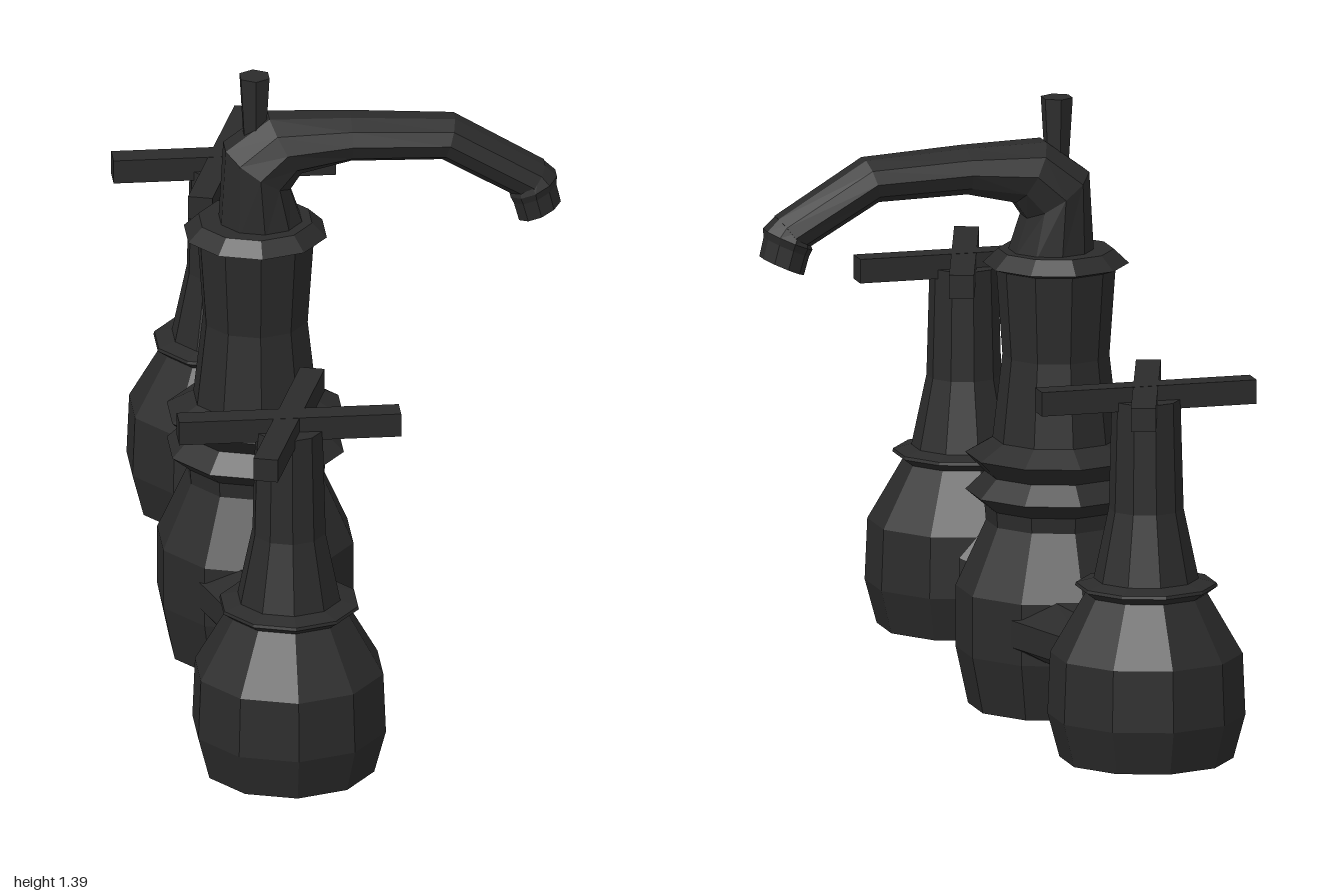
import * as THREE from 'three';

const metal = new THREE.MeshStandardMaterial({ color: 0x2b2b2b, flatShading: true });

function add(parent, name, geometry, x = 0, y = 0, z = 0) {
  const mesh = new THREE.Mesh(geometry, metal);
  mesh.name = name;
  mesh.position.set(x, y, z);
  parent.add(mesh);
  return mesh;
}

// Turned part from [radius, height] pairs
function turned(profile, sides = 10) {
  return new THREE.LatheGeometry(profile.map(([r, y]) => new THREE.Vector2(r, y)), sides);
}

// Skin over rings { c, u, v } with capped ends; u x v points along the travel
function loft(rings, sides) {
  const pos = [], index = [];
  const put = p => pos.push(p.x, p.y, p.z);
  rings.forEach(({ c, u, v }) => {
    for (let i = 0; i < sides; i++) {
      const a = (i + 0.5) / sides * Math.PI * 2;
      put(c.clone().addScaledVector(u, Math.cos(a)).addScaledVector(v, Math.sin(a)));
    }
  });
  const first = rings.length * sides, last = first + 1, top = (rings.length - 1) * sides;
  put(rings[0].c);
  put(rings[rings.length - 1].c);
  for (let i = 0; i < sides; i++) {
    const j = (i + 1) % sides;
    for (let k = 0; k < top; k += sides) {
      index.push(k + i, k + j, k + sides + j, k + i, k + sides + j, k + sides + i);
    }
    index.push(first, j, i, last, top + i, top + j);
  }
  const g = new THREE.BufferGeometry();
  g.setAttribute('position', new THREE.Float32BufferAttribute(pos, 3));
  g.setIndex(index);
  g.computeVertexNormals();
  return g;
}

const V = (x, y, z) => new THREE.Vector3(x, y, z);

// Rings along a path in the xy plane: [x, y, angle in degrees, in-plane radius, z radius]
function bentTube(stations, sides) {
  return loft(stations.map(([x, y, deg, r, rz]) => {
    const a = THREE.MathUtils.degToRad(deg);
    return { c: V(x, y, 0), u: V(-Math.sin(a) * r, Math.cos(a) * r, 0), v: V(0, 0, rz) };
  }), sides);
}

// Rings along z: [z, half width, half height]
function straightTube(stations, sides) {
  const k = 1 / Math.cos(Math.PI / sides);
  return loft(stations.map(([z, w, h]) => (
    { c: V(0, 0.2, z), u: V(w * k, 0, 0), v: V(0, h * k, 0) })), sides);
}

function createSide() {
  const side = new THREE.Group();

  // Tapered arm and ringed coupling
  add(side, 'arm', straightTube([[0.1, 0.165, 0.074], [0.2, 0.135, 0.074], [0.46, 0.06, 0.072]], 8));
  add(side, 'coupling', straightTube([
    [0.45, 0.06, 0.068], [0.463, 0.066, 0.072], [0.48, 0.086, 0.095],
    [0.497, 0.064, 0.07], [0.6, 0.058, 0.062]], 8));

  // Valve body with collar and stem
  add(side, 'valveBody', turned([
    [0, 0.03], [0.195, 0.03], [0.222, 0.13], [0.216, 0.27], [0.135, 0.41], [0, 0.41]]), 0, 0, 0.745);
  add(side, 'valveCollar', turned([
    [0, 0.405], [0.135, 0.405], [0.16, 0.423], [0.158, 0.43], [0.12, 0.44], [0, 0.44]]), 0, 0, 0.745);
  add(side, 'valveStem', turned([
    [0, 0.42], [0.12, 0.43], [0.084, 0.6], [0.077, 0.85], [0, 0.85]]), 0, 0, 0.743);

  // Cross handle
  const handle = new THREE.Group();
  handle.name = 'crossHandle';
  handle.position.set(0, 0.857, 0.741);
  add(handle, 'handleBar', new THREE.BoxGeometry(0.5, 0.055, 0.056));
  add(handle, 'handleBar', new THREE.BoxGeometry(0.056, 0.054, 0.525)).rotation.y = -0.3;
  side.add(handle);
  return side;
}

export function createModel() {
  const model = new THREE.Group();
  model.name = 'faucet';
  const axis = -0.228;

  // Central column
  add(model, 'column', turned([
    [0, 0], [0.197, 0], [0.225, 0.13], [0.225, 0.27], [0.157, 0.42], [0.16, 0.455],
    [0.203, 0.49], [0.16, 0.532], [0.203, 0.575], [0.142, 0.61], [0.12, 0.8],
    [0.134, 1.0], [0.164, 1.01], [0.13, 1.042], [0, 1.042]]), axis);

  // Curved spout, then the nozzle tip
  add(model, 'spout', bentTube([
    [-0.215, 1.03, 90, 0.098, 0.098], [-0.225, 1.17, 56, 0.092, 0.094],
    [-0.163, 1.225, 28, 0.08, 0.085], [-0.015, 1.235, 0, 0.055, 0.073],
    [0.205, 1.225, -17, 0.053, 0.066], [0.395, 1.112, -36, 0.05, 0.06]], 10));
  add(model, 'nozzle', bentTube([
    [0.385, 1.125, -50, 0.046, 0.054], [0.397, 1.1, -66, 0.06, 0.064],
    [0.4, 1.083, -66, 0.055, 0.058], [0.411, 1.04, -66, 0.054, 0.056]], 10));

  // Small pull knob above the riser
  add(model, 'knob', new THREE.CylinderGeometry(0.037, 0.027, 0.16, 6), -0.23, 1.309, 0);

  // Both valves: one is the other turned half round
  for (const [name, turn] of [['frontValve', 0], ['rearValve', Math.PI]]) {
    const side = createSide();
    side.name = name;
    side.position.x = axis + 0.002;
    side.rotation.y = turn;
    model.add(side);
  }
  return model;
}
